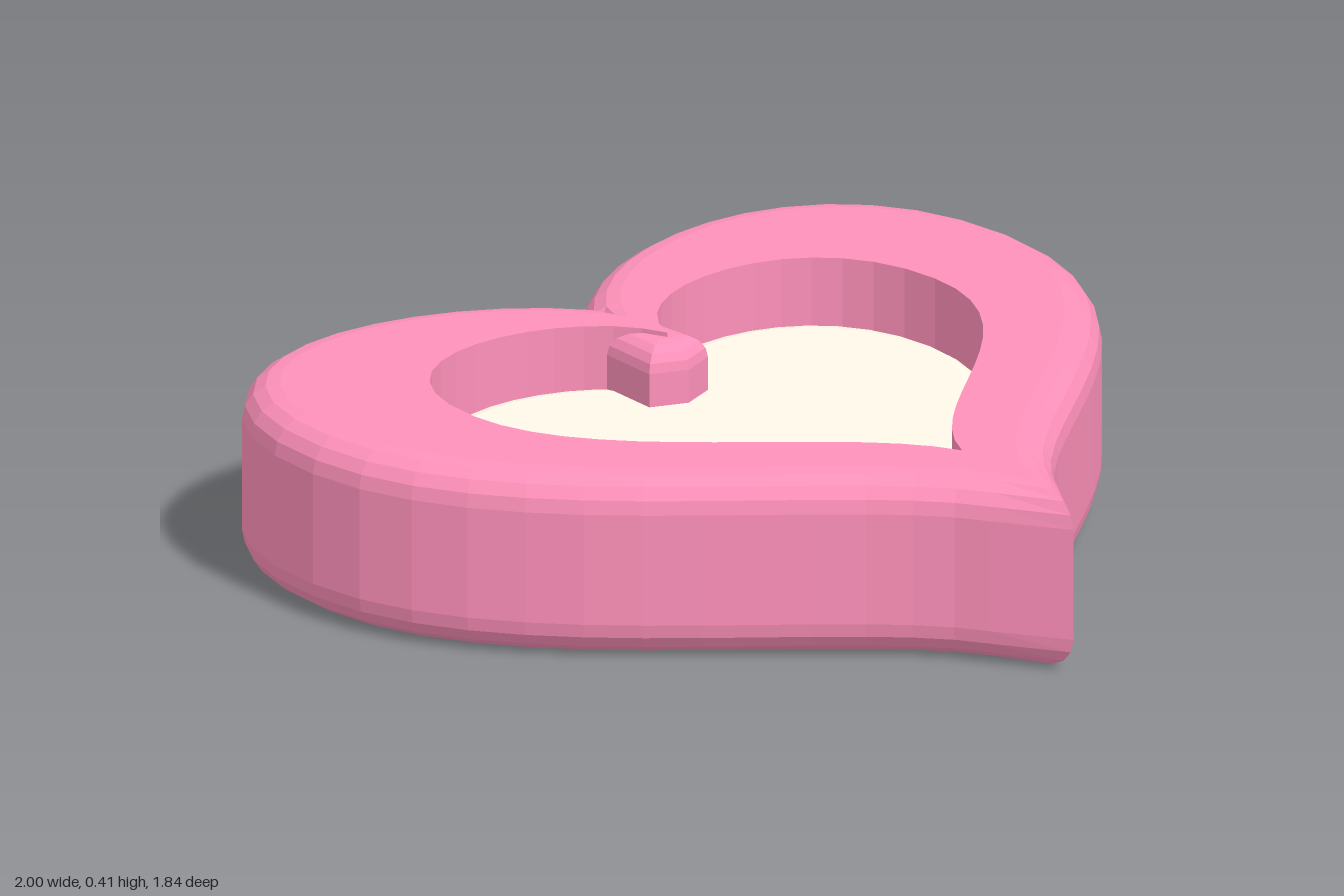
import * as THREE from 'three';

const PINK = new THREE.MeshStandardMaterial({ color: 0xff91ba });
const CREAM = new THREE.MeshStandardMaterial({ color: 0xfff8ea });
const HEIGHT = 0.41;
const BEVEL = 0.08;
const SEGMENTS = 14;

// Symmetric heart drawn from cleft to tip and back; each row is a Bezier: c1, c2, end
function heart(cleft, lobe, side, k = 1, cy = 0) {
  const shape = new THREE.Shape();
  const Y = (y) => cy + (y - cy) * k;
  const curve = (m, a, b, c) => shape.bezierCurveTo(m * a[0] * k, Y(a[1]), m * b[0] * k, Y(b[1]), m * c[0] * k, Y(c[1]));
  shape.moveTo(0, Y(cleft));
  curve(1, ...lobe);
  curve(1, ...side);
  curve(-1, side[1], side[0], lobe[2]);
  curve(-1, lobe[1], lobe[0], [0, cleft]);
  return shape;
}

const outer = () => heart(0.53,
  [[0.17, 0.9], [0.92, 1.03], [0.92, 0.4]],
  [[0.92, -0.18], [0.08, -0.42], [0, -0.81]]);
const inner = (k) => heart(0.4,
  [[0.08, 0.68], [0.65, 0.73], [0.65, 0.28]],
  [[0.65, -0.1], [0.11, -0.28], [0, -0.56]], k, 0.1);

// Extrude upward from y0 to y1, with an optional rounded edge
function slab(shape, y0, y1, bevel = 0) {
  const geo = new THREE.ExtrudeGeometry(shape, {
    depth: y1 - y0 - 2 * bevel, curveSegments: SEGMENTS, bevelEnabled: bevel > 0,
    bevelSize: bevel, bevelThickness: bevel, bevelSegments: 4,
  });
  return geo.rotateX(-Math.PI / 2).translate(0, y0 + bevel, 0);
}

// Keep only the side walls of an extrusion
function withoutLids(geo) {
  const { start, count } = geo.groups[1];
  const out = new THREE.BufferGeometry();
  for (const name of ['position', 'normal']) {
    const part = geo.attributes[name].array.slice(start * 3, (start + count) * 3);
    out.setAttribute(name, new THREE.BufferAttribute(part, 3));
  }
  return out;
}

export function createModel() {
  const model = new THREE.Group();
  model.name = 'heartDish';
  const add = (name, geo, material) => {
    const mesh = new THREE.Mesh(geo, material);
    mesh.name = name;
    model.add(mesh);
  };

  // Rounded outer wall
  add('outerWall', withoutLids(slab(outer(), 0, HEIGHT, BEVEL)), PINK);

  // Flat rim; the opening runs opposite to the outline so its wall faces inward
  const rim = outer();
  rim.holes.push(new THREE.Path(inner(1).getPoints(SEGMENTS).reverse()));
  add('rim', slab(rim, 0, HEIGHT), PINK);

  // Small flared spur under the cleft of the opening
  const half = [[0.02, 0.47], [0.025, 0.4]];
  const spur = new THREE.Shape([
    [0, 0.39], ...half.slice().reverse(), ...half.map(([x, y]) => [-x, y]),
  ].map(([x, y]) => new THREE.Vector2(x, y)));
  add('cleftSpur', slab(spur, 0.1, 0.4, 0.055), PINK);

  // Cream inlay: flat base and a panel with softened edges
  add('inlayBase', slab(inner(1), 0, 0.21), CREAM);
  add('inlayPanel', slab(inner(0.93), 0.1, 0.27, 0.05), CREAM);

  return model;
}
